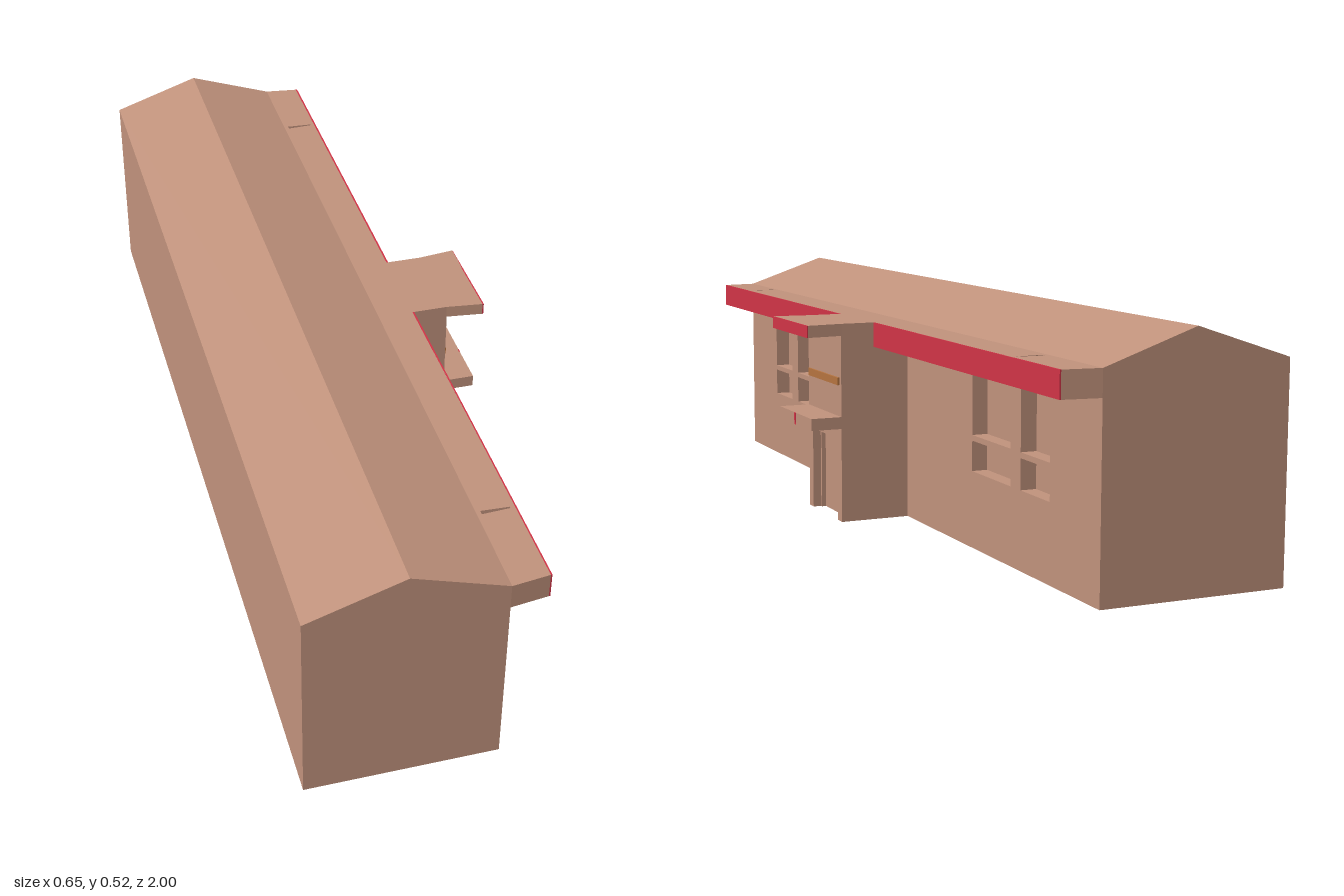
import * as THREE from 'three';

const brick = new THREE.MeshStandardMaterial({ color: 0xbf917b, flatShading: true });
const red = new THREE.MeshStandardMaterial({ color: 0xcf3346, flatShading: true });
const bronze = new THREE.MeshStandardMaterial({ color: 0xb4733f, flatShading: true });

const points = (list) => list.map(([x, y]) => new THREE.Vector2(x, y));
const rect = (x0, y0, x1, y1) => points([[x0, y0], [x1, y0], [x1, y1], [x0, y1]]);

function extrude(outline, depth, holes = []) {
  const shape = new THREE.Shape(outline);
  holes.forEach((h) => shape.holes.push(new THREE.Path(h)));
  return new THREE.ExtrudeGeometry(shape, { depth, bevelEnabled: false });
}

export function createModel() {
  const group = new THREE.Group();
  const add = (name, geometry, material = brick) => {
    const mesh = new THREE.Mesh(geometry, material);
    mesh.name = name;
    group.add(mesh);
    return mesh;
  };
  const box = (name, x0, x1, y0, y1, z0, z1, material) =>
    add(name, new THREE.BoxGeometry(x1 - x0, y1 - y0, z1 - z0), material)
      .position.set((x0 + x1) / 2, (y0 + y1) / 2, (z0 + z1) / 2);
  // upright panel facing +x, drawn in (-z, y)
  const panel = (name, outline, x0, x1, holes) =>
    add(name, extrude(outline, x1 - x0, holes).rotateY(Math.PI / 2).translate(x0, 0, 0));
  // flat slab drawn in (x, -z)
  const slab = (name, outline, y0, y1, holes) =>
    add(name, extrude(outline, y1 - y0, holes).rotateX(-Math.PI / 2).translate(0, y0, 0));

  // gabled hall, stepped back behind the window wall
  add('hall', extrude(points([
    [-0.325, 0], [0.045, 0], [0.045, 0.395], [0.08, 0.395],
    [0.08, 0.45], [-0.12, 0.518], [-0.325, 0.45],
  ]), 2).translate(0, 0, -1));

  // window wall with paired recesses on both sides of the entrance
  const windows = [];
  for (const s of [-1, 1]) {
    for (const [a, b] of [[0.45, 0.63], [0.675, 0.8]]) {
      const [z0, z1] = s > 0 ? [a, b] : [-b, -a];
      windows.push(rect(z0, 0.165, z1, 0.23), rect(z0, 0.242, z1, 0.39));
    }
  }
  panel('windowWall', rect(-1, 0, 1, 0.395), 0.045, 0.08, windows);

  // overhanging eave with tapered ends, narrow slits and red fascia
  const slits = [-0.79, 0.79].map((z) => points([[0.09, z - 0.005], [0.15, z - 0.002], [0.15, z + 0.002], [0.09, z + 0.005]]));
  slab('eave', points([[0.08, -1], [0.16, -0.99], [0.16, 0.99], [0.08, 1]]), 0.395, 0.45, slits);
  for (const s of [-1, 1]) {
    box('eaveFascia', 0.159, 0.163, 0.395, 0.45, s > 0 ? 0.105 : -0.99, s > 0 ? 0.99 : -0.105, red);
  }

  // entrance block with recessed doorway
  box('entranceBlock', 0.08, 0.212, 0, 0.45, -0.105, 0.105);
  panel('entranceFront', points([
    [-0.105, 0], [-0.08, 0], [-0.08, 0.187], [0.08, 0.187],
    [0.08, 0], [0.105, 0], [0.105, 0.45], [-0.105, 0.45],
  ]), 0.212, 0.241);
  panel('doorFrame', points([
    [-0.08, 0], [-0.074, 0], [-0.074, 0.181], [0.074, 0.181],
    [0.074, 0], [0.08, 0], [0.08, 0.187], [-0.08, 0.187],
  ]), 0.212, 0.222);

  // flared top canopy and straight door canopy
  slab('topCanopy', points([[0.24, -0.105], [0.324, -0.115], [0.324, 0.115], [0.24, 0.105]]), 0.423, 0.45);
  box('topCanopyFascia', 0.322, 0.325, 0.423, 0.45, -0.115, 0.115, red);
  box('doorCanopy', 0.24, 0.313, 0.213, 0.24, -0.105, 0.105);
  box('doorCanopyAccent', 0.311, 0.314, 0.213, 0.24, -0.005, 0.005, red);

  // plain sign strip above the door
  box('signStrip', 0.24, 0.246, 0.311, 0.328, -0.095, 0.095, bronze);

  return group;
}
